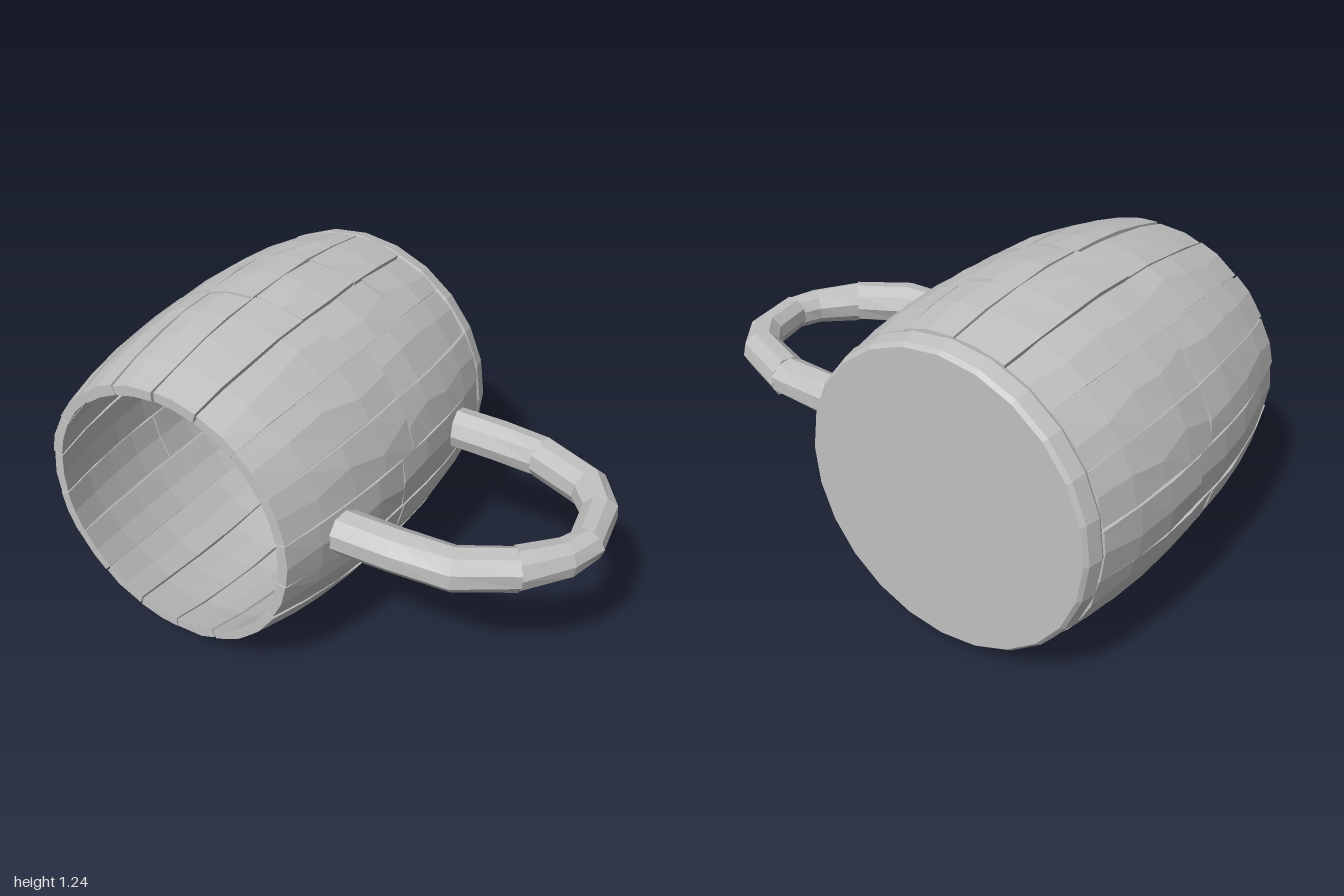
import * as THREE from 'three';

const CX = -0.38, CY = 0.622, BACK = -0.67, FRONT = 0.67, WALL = 0.04;

// seeded noise in -1..1
let seed = 7;
const jitter = (amount) => {
  seed = (seed * 16807) % 2147483647;
  return (seed / 2147483647 * 2 - 1) * amount;
};

// barrel radius along the axis
const radiusAt = (z) => 0.621 - 0.165 * (z + 0.08) ** 2;

// closed solid through loops of points; each loop is counter-clockwise about the direction of travel
function loft(sections, capStart = 0) {
  const n = sections[0].length, pos = [], idx = [];
  sections.forEach((s) => s.forEach((p) => pos.push(p.x, p.y, p.z)));
  for (let s = 0; s < sections.length - 1; s++) {
    for (let i = 0; i < n; i++) {
      const j = (i + 1) % n, a = s * n, b = a + n;
      idx.push(a + i, a + j, b + j, a + i, b + j, b + i);
    }
  }
  const last = (sections.length - 1) * n;
  for (let k = 1; k < n - 1; k++) {
    const i = (capStart + k) % n, j = (capStart + k + 1) % n;
    idx.push(capStart, j, i, last + capStart, last + i, last + j);
  }
  const g = new THREE.BufferGeometry();
  g.setAttribute('position', new THREE.Float32BufferAttribute(pos, 3));
  g.setIndex(idx);
  const flat = g.toNonIndexed();
  flat.computeVertexNormals();
  return flat;
}

// one hewn board of the barrel wall
function boardGeometry(angle, half, z0, z1) {
  const sections = [], steps = Math.max(2, Math.round((z1 - z0) / 0.16));
  const lift = jitter(0.003);
  for (let s = 0; s <= steps; s++) {
    const z = z0 + (z1 - z0) * s / steps;
    const end = s === 0 || s === steps;
    const r = radiusAt(z) + lift - (end ? 0.004 : 0);
    const a0 = angle - half + 0.007 + jitter(0.006);
    const a1 = angle + half - 0.007 + jitter(0.006);
    const mid = angle + jitter(0.05);
    const at = (a, rad) => new THREE.Vector3(Math.cos(a) * rad, Math.sin(a) * rad, z);
    sections.push([
      at(a0, r - WALL), at(a0, r - 0.003 + jitter(0.003)), at(mid, r + jitter(0.002)),
      at(a1, r - 0.003 + jitter(0.003)), at(a1, r - WALL), at(angle, r - WALL),
    ]);
  }
  return loft(sections, 2);
}

export function createModel() {
  const model = new THREE.Group();
  const grey = new THREE.MeshStandardMaterial({ color: 0xc0c0c0 });
  grey.name = 'plainGrey';
  grey.flatShading = true;
  grey.side = THREE.DoubleSide;

  const add = (parent, name, geometry) => {
    const mesh = new THREE.Mesh(geometry, grey);
    mesh.name = name;
    parent.add(mesh);
    return mesh;
  };

  const barrel = new THREE.Group();
  barrel.name = 'barrel';
  barrel.position.set(CX, CY, 0);
  model.add(barrel);

  // staves, each cut into boards at staggered cross seams
  const seams = [[0.05], [-0.02], [-0.02], [-0.29, 0.08], [-0.25, 0.09], [0.1], [0.07], [0.03], [0.03],
    [-0.05], [0.08], [0], [0.12], [-0.1], [0.33], [0.06], [0.07], [0.03]];
  const step = Math.PI * 2 / seams.length;
  seams.forEach((cuts, k) => {
    const ends = [-0.59, ...cuts, FRONT];
    for (let i = 0; i < ends.length - 1; i++) {
      const z0 = ends[i] + 0.002, z1 = ends[i + 1] - (i < ends.length - 2 ? 0.002 : 0);
      add(barrel, 'staveBoard', boardGeometry(k * step, step / 2, z0, z1));
    }
  });

  // thin core closing the gaps between boards
  const profile = [];
  for (let i = 0; i <= 8; i++) {
    const z = -0.6 + 1.26 * i / 8;
    profile.push(new THREE.Vector2(radiusAt(z) - 0.022, z));
  }
  add(barrel, 'wallCore', new THREE.LatheGeometry(profile, 36).rotateX(Math.PI / 2));

  // solid base with a softened rim; its inner face is the floor
  const basePoints = [[0, BACK], [0.55, BACK], [0.563, -0.655], [0.575, -0.6], [0.568, -0.583], [0, -0.583]];
  add(barrel, 'base', new THREE.LatheGeometry(
    basePoints.map(([r, z]) => new THREE.Vector2(r, z)), 24).rotateX(Math.PI / 2));

  // handle: x, z and thickness along the loop, made of jointed lengths
  const path = [
    [0.17, 0.4, 0.083], [0.4, 0.392, 0.083], [0.61, 0.372, 0.083], [0.79, 0.26, 0.08],
    [0.9, 0.12, 0.07], [0.935, 0.02, 0.066], [0.9, -0.17, 0.07], [0.81, -0.285, 0.077],
    [0.58, -0.375, 0.078], [0.4, -0.38, 0.08], [0.17, -0.38, 0.08],
  ];
  const handle = new THREE.Group();
  handle.name = 'handle';
  model.add(handle);
  const SIDES = 9;
  const ring = (i, twist) => {
    const [x, z, r] = path[i];
    const a = path[Math.max(i - 1, 0)], b = path[Math.min(i + 1, path.length - 1)];
    const t = new THREE.Vector2(b[0] - a[0], b[1] - a[1]).normalize();
    return Array.from({ length: SIDES }, (_, k) => {
      const ang = k / SIDES * Math.PI * 2 + twist;
      const rad = r + jitter(0.003), side = Math.cos(ang) * rad;
      return new THREE.Vector3(x + t.y * side, CY + Math.sin(ang) * rad, z - t.x * side);
    });
  };
  [[0, 3], [3, 5], [5, 8], [8, 10]].forEach(([from, to], n) => {
    const rings = [];
    for (let i = from; i <= to; i++) rings.push(ring(i, n * 0.25));
    add(handle, 'handleLength', loft(rings));
  });

  return model;
}
